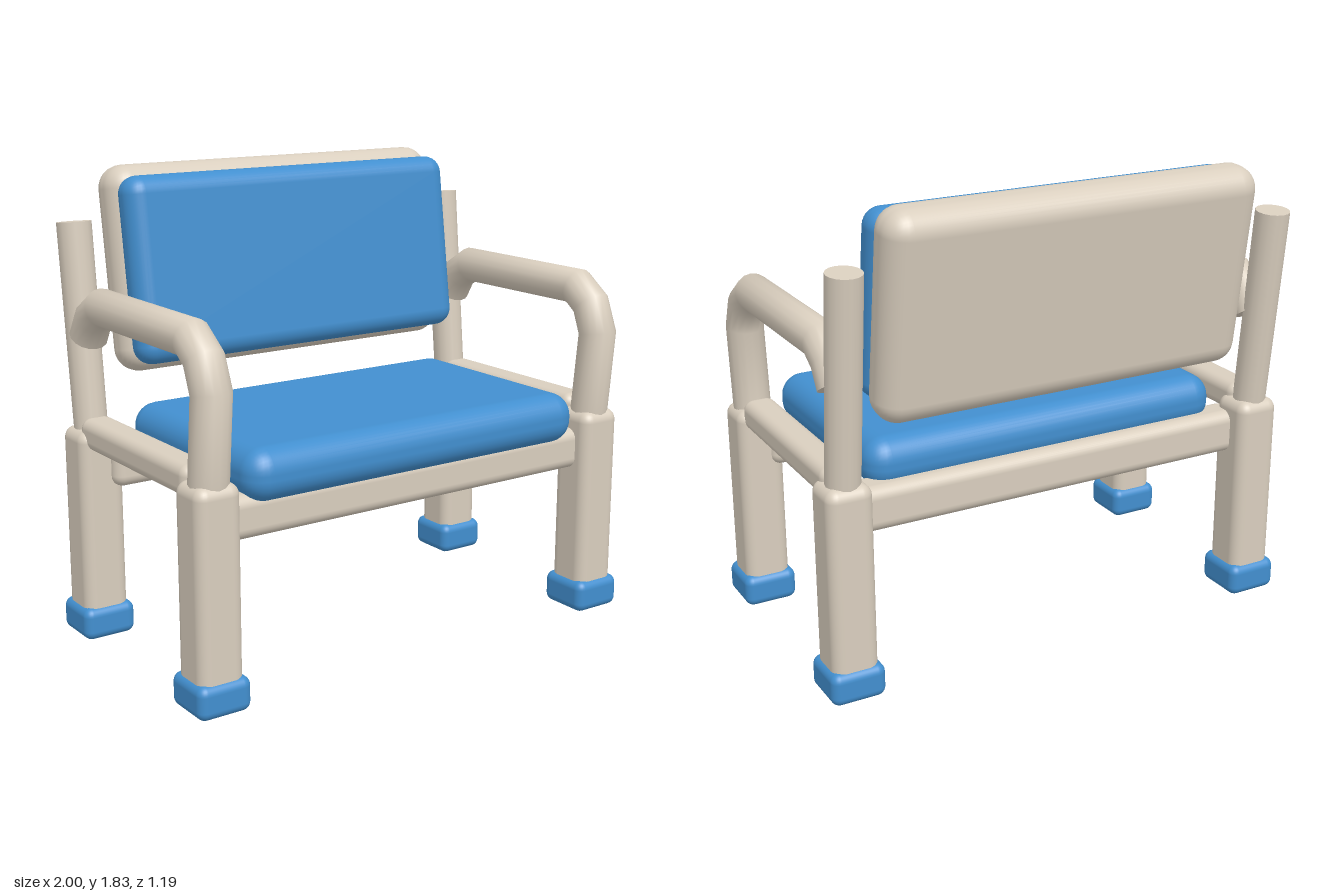
import * as THREE from 'three';
import { RoundedBoxGeometry } from 'three/addons/geometries/RoundedBoxGeometry.js';

// Curve whose samples fall exactly on the given corner points
class CornerCurve extends THREE.Curve {
  constructor(points) {
    super();
    this.points = points;
  }
  getPoint(t, target = new THREE.Vector3()) {
    const last = this.points.length - 1;
    const i = Math.min(Math.floor(t * last + 1e-6), last - 1);
    return target.lerpVectors(this.points[i], this.points[i + 1], t * last - i);
  }
  getPointAt(t, target) {
    return this.getPoint(t, target);
  }
  getTangentAt(t, target = new THREE.Vector3()) {
    const p = this.points, last = p.length - 1, i = Math.round(t * last);
    target.set(0, 0, 0);
    if (i > 0) target.add(p[i].clone().sub(p[i - 1]).normalize());
    if (i < last) target.add(p[i + 1].clone().sub(p[i]).normalize());
    return target.normalize();
  }
}

export function createModel() {
  const model = new THREE.Group();
  model.name = 'bench';
  const frame = new THREE.MeshStandardMaterial({ color: 0xd9cebe });
  frame.name = 'beige frame';
  const padding = new THREE.MeshStandardMaterial({ color: 0x428fcf });
  padding.name = 'blue padding';

  const add = (name, geometry, material, x, y, z, tilt = 0) => {
    const mesh = new THREE.Mesh(geometry, material);
    mesh.name = name;
    mesh.position.set(x, y, z);
    mesh.rotation.x = tilt;
    model.add(mesh);
    return mesh;
  };
  const box = (w, h, d, r) => new RoundedBoxGeometry(w, h, d, 4, r);

  // Seat, back panel and back cushion
  add('seatCushion', box(1.52, 0.2, 0.93, 0.09), padding, 0, 0.83, 0.105);
  add('backPanel', box(1.53, 0.8, 0.2, 0.09), frame, 0, 1.43, -0.45, -0.14);
  add('backCushion', box(1.51, 0.72, 0.15, 0.07), padding, 0, 1.44, -0.318, -0.14);

  // Cross rails under the seat
  add('frontRail', box(1.72, 0.165, 0.15, 0.045), frame, 0, 0.683, 0.438);
  add('backRail', box(1.72, 0.175, 0.15, 0.045), frame, 0, 0.698, -0.338);

  // Armrest path, from the front leg up and back to the post
  const armPoints = [
    [0.8, 0.488], [1.155, 0.522], [1.265, 0.478], [1.325, 0.395],
    [1.325, -0.27], [1.275, -0.35], [1.195, -0.4],
  ].map(([y, z]) => new THREE.Vector3(0, y, z));
  const armCurve = new CornerCurve(armPoints);
  const armGeometry = new THREE.TubeGeometry(armCurve, armPoints.length - 1, 0.074, 16);
  const armEnd = armPoints[armPoints.length - 1];

  for (const [side, x] of [['left', 0.89], ['right', -0.89]]) {
    // Legs with padded feet
    for (const [end, z] of [['Front', 0.483], ['Back', -0.4]]) {
      add(`${side}${end}Leg`, box(0.18, 0.76, 0.183, 0.045), frame, x, 0.46, z);
      add(`${side}${end}Foot`, box(0.215, 0.13, 0.218, 0.035), padding, x, 0.065, z);
    }
    // Side rail, back post and armrest
    add(`${side}SideRail`, box(0.13, 0.12, 0.82, 0.04), frame, x, 0.826, 0.025);
    add(`${side}BackPost`, new THREE.CylinderGeometry(0.067, 0.065, 0.9, 16), frame, x, 1.177, -0.445, -0.1);
    add(`${side}Armrest`, armGeometry, frame, x, 0, 0);
    const cap = add(`${side}ArmrestCap`, new THREE.CircleGeometry(0.074, 16), frame, x, armEnd.y, armEnd.z);
    cap.lookAt(armCurve.getTangentAt(1).add(cap.position));
  }
  return model;
}
